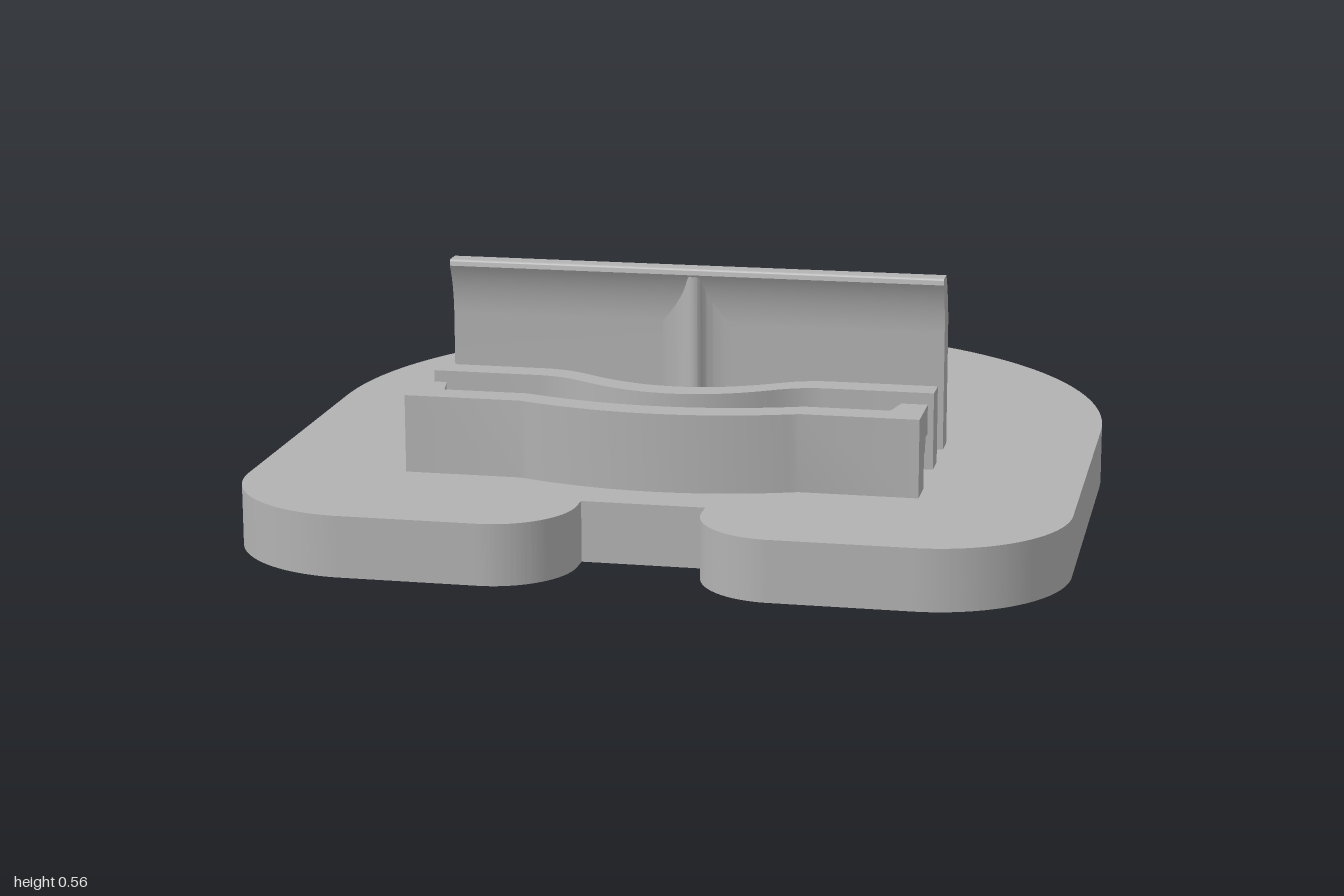
import * as THREE from 'three';
import { toCreasedNormals } from 'three/addons/utils/BufferGeometryUtils.js';

const BASE_TOP = 0.14, WALL_TOP = 0.32, HALF = 0.59;

export function createModel() {
  const grey = new THREE.MeshStandardMaterial({ color: 0xb2b2b2 });
  grey.name = 'plain grey';
  const group = new THREE.Group();
  group.name = 'standPlate';

  const add = (name, geo) => {
    const mesh = new THREE.Mesh(toCreasedNormals(geo, 0.5), grey);
    mesh.name = name;
    group.add(mesh);
  };
  // Plan outline in (x, z), raised between two heights
  const slab = (name, shape, y0, y1, segments = 24) => {
    const geo = new THREE.ExtrudeGeometry(shape, { depth: y1 - y0, bevelEnabled: false, curveSegments: segments });
    add(name, geo.rotateX(Math.PI / 2).translate(0, y1, 0));
  };
  const polygon = (pts) => new THREE.Shape(pts.map(([x, y]) => new THREE.Vector2(x, y)));

  // Base plate: round back, rounded front corners and a front notch
  const plate = () => {
    const s = new THREE.Shape();
    s.moveTo(-0.94, -0.06);
    s.absarc(0, -0.06, 0.94, Math.PI, Math.PI * 2, false);
    s.lineTo(0.94, 0.69);
    s.absarc(0.63, 0.69, 0.31, 0, Math.PI / 2, false);
    s.lineTo(0.32, 1);
    s.absarc(0.32, 0.82, 0.18, Math.PI / 2, Math.PI, false);
    s.lineTo(0.14, 0.78);
    s.lineTo(-0.14, 0.78);
    s.lineTo(-0.14, 0.82);
    s.absarc(-0.32, 0.82, 0.18, 0, Math.PI / 2, false);
    s.lineTo(-0.63, 1);
    s.absarc(-0.63, 0.69, 0.31, Math.PI / 2, Math.PI, false);
    s.closePath();
    return s;
  };
  slab('basePlate', plate(), 0.04, BASE_TOP, 48);
  // Lower layer leaves a shallow round recess underneath
  const rim = plate();
  rim.holes.push(new THREE.Path().absarc(0, -0.06, 0.75, 0, Math.PI * 2, true));
  slab('baseRecessRim', rim, 0, 0.04, 48);

  // Back wall: vertical, with its top curling forward
  const p = new THREE.Shape();
  p.moveTo(0.12, BASE_TOP);
  p.lineTo(0.185, BASE_TOP);
  p.lineTo(0.185, 0.42);
  p.quadraticCurveTo(0.187, 0.49, 0.217, 0.54);
  p.quadraticCurveTo(0.217, 0.555, 0.208, 0.555);
  p.lineTo(0.17, 0.555);
  p.quadraticCurveTo(0.135, 0.51, 0.12, 0.44);
  p.closePath();
  const back = new THREE.ExtrudeGeometry(p, { depth: HALF * 2, bevelEnabled: false, curveSegments: 12 });
  add('backWall', back.rotateY(-Math.PI / 2).translate(HALF, 0, 0));

  // Centre rib with concave flanks
  const r = new THREE.Shape();
  r.moveTo(-0.08, 0.17);
  r.lineTo(0.08, 0.17);
  r.lineTo(0.08, 0.185);
  r.quadraticCurveTo(0.03, 0.187, 0.018, 0.208);
  r.quadraticCurveTo(0, 0.23, -0.018, 0.208);
  r.quadraticCurveTo(-0.03, 0.187, -0.08, 0.185);
  r.closePath();
  slab('backWallRib', r, BASE_TOP, 0.535);

  // Middle wall: straight ends with a smooth forward dip
  const dip = (x) => {
    const a = Math.abs(x);
    if (a > 0.34) return 0;
    if (a > 0.22) return 0.35 * (0.34 - a) ** 2 / 0.0144 * 0.12;
    return 0.117 - 0.075 * (a / 0.22) ** 2;
  };
  const xs = [-HALF];
  for (let i = -17; i <= 17; i++) xs.push(i * 0.02);
  xs.push(HALF);
  slab('middleWall', polygon([
    ...xs.map((x) => [x, 0.298 + dip(x)]),
    ...[...xs].reverse().map((x) => [x, 0.367 + dip(x)]),
  ]), BASE_TOP, WALL_TOP);

  // Front wall: shallow bowed centre
  const bow = (x) => 0.06 * Math.max(0, 1 - (x / 0.32) ** 2);
  const bx = [-HALF];
  for (let i = -16; i <= 16; i++) bx.push(i * 0.02);
  bx.push(HALF);
  slab('frontWall', polygon([
    ...bx.map((x) => [x, 0.545 + bow(x)]),
    ...[...bx].reverse().map((x) => [x, 0.615 + bow(x)]),
  ]), BASE_TOP, WALL_TOP);

  // Hooks at both ends of the front wall, stepped back underneath
  const steps = [[BASE_TOP, 0.22, 0.53], [0.22, 0.252, 0.51], [0.252, WALL_TOP, 0.475]];
  for (const side of [-1, 1]) {
    steps.forEach(([y0, y1, z], i) => {
      const inner = 0.53 - (z - 0.475) * 0.21;
      slab(`${side > 0 ? 'left' : 'right'}HookStep${i + 1}`, polygon([
        [side * HALF, z], [side * HALF, 0.545], [side * 0.515, 0.545], [side * inner, z],
      ]), y0, y1);
    });
  }
  return group;
}
